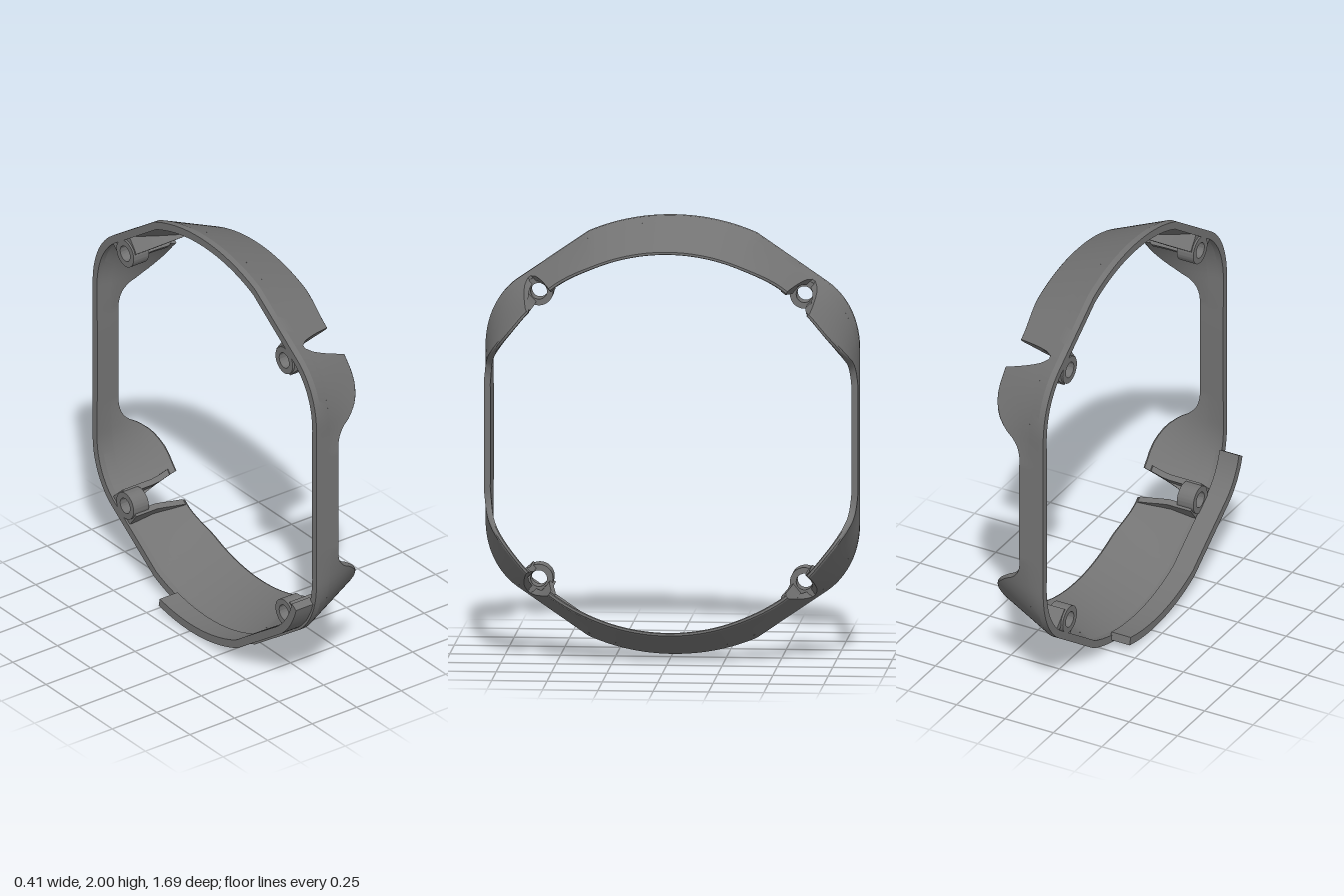
import * as THREE from 'three';
import { toCreasedNormals } from 'three/addons/utils/BufferGeometryUtils.js';

const RAD = Math.PI / 180;
const lerp = THREE.MathUtils.lerp;
const clamp01 = (v) => THREE.MathUtils.clamp(v, 0, 1);

// One quarter of the base outline, as (z, height above centre)
const quarter = new THREE.Path();
quarter.moveTo(0, 1);
quarter.quadraticCurveTo(0.2, 1, 0.38, 0.922);
quarter.lineTo(0.7, 0.702);
quarter.bezierCurveTo(0.78, 0.647, 0.845, 0.54, 0.845, 0.4);
quarter.lineTo(0.845, 0);
const outline = quarter.getPoints(12);

// Radius of the base outline at an angle (0 = up, 90 = toward +z)
function baseRadius(deg) {
  const dz = Math.abs(Math.sin(deg * RAD)), dy = Math.abs(Math.cos(deg * RAD));
  for (let i = 0; i < outline.length - 1; i++) {
    const p = outline[i], q = outline[i + 1];
    if (dz * q.y - dy * q.x <= 1e-9) {
      const ez = q.x - p.x, ey = q.y - p.y;
      const d = dz * ey - dy * ez;
      if (Math.abs(d) > 1e-9) return (p.x * ey - p.y * ez) / d;
    }
  }
  return 0.845;
}

// The wall leans from the base outline to a circle at the front edge
function outerRadius(deg, x) {
  const front = Math.min(0.88, 0.845 / Math.max(Math.abs(Math.sin(deg * RAD)), 0.01));
  return lerp(baseRadius(deg), front, clamp01((x + 0.08) / 0.28));
}
const innerRadius = (deg, x) => outerRadius(deg, x) - lerp(0.036, 0.021, clamp01((x + 0.11) / 0.31));

// Solid curved panel: lo/hi give end angles at x, top gives the edge height
function panel({ lo, hi, x0, top, outer = outerRadius, inner = innerRadius, steps = 60, round = false }) {
  const ts = round ? [0, 0.15, 0.3, 0.45, 0.6, 0.75, 0.88, 0.97, 1] : [0, 0.375, 1];
  const n = ts.length, m = n * 2, pos = [], idx = [];
  for (let i = 0; i <= steps; i++) {
    const s = i / steps;
    const xTop = top(lerp(lo(0.2), hi(0.2), s));
    for (let j = 0; j < m; j++) {
      const t = ts[j < n ? j : m - 1 - j];
      const x = lerp(x0, xTop, t);
      const deg = lerp(lo(x), hi(x), s);
      const ro = outer(deg, x), ri = inner(deg, x);
      const pinch = round && t === 1 ? 0.25 : 0;
      const r = j < n ? lerp(ro, ri, pinch) : lerp(ri, ro, pinch);
      pos.push(x, 1 + r * Math.cos(deg * RAD), r * Math.sin(deg * RAD));
    }
  }
  const quad = (a, b, c, d) => idx.push(a, b, c, a, c, d);
  for (let i = 0; i < steps; i++) {
    for (let j = 0; j < m; j++) {
      const k = (j + 1) % m, a = i * m, b = a + m;
      quad(a + j, b + j, b + k, a + k);
    }
  }
  // End caps
  const e = steps * m;
  for (let j = 0; j < n - 1; j++) {
    quad(j, j + 1, m - 2 - j, m - 1 - j);
    quad(e + m - 1 - j, e + m - 2 - j, e + j + 1, e + j);
  }
  const g = new THREE.BufferGeometry();
  g.setAttribute('position', new THREE.Float32BufferAttribute(pos, 3));
  g.setIndex(idx);
  return toCreasedNormals(g, 0.33);
}

// Slot edges, opening toward the front
const slot = (x) => Math.pow(clamp01((x + 0.03) / 0.23), 0.6);
const archEnd = (x) => 41.3 - 3.8 * slot(x);
const lobeStart = (x) => 42.3 + 4.5 * slot(x);

// Edge height of the arches and of the side lobes
const archTop = (centre) => (deg) => {
  const k = clamp01((Math.abs(deg - centre) - 22) / 14);
  return 0.2 - 0.024 * k * k * (3 - 2 * k);
};
const lobeProfile = [[46, 0.2], [52, 0.2], [55, 0.195], [57.5, 0.184], [60, 0.168], [62, 0.149],
  [64, 0.122], [65.5, 0.098], [67, 0.066], [68, 0.05], [69.5, 0.032], [71, 0.022], [73, 0.015], [90, 0.015]];
const lobeTop = (centre) => (deg) => {
  const a = 90 - Math.abs(deg - centre);
  for (let i = 1; i < lobeProfile.length; i++) {
    const [a0, x0] = lobeProfile[i - 1], [a1, x1] = lobeProfile[i];
    if (a <= a1) return lerp(x0, x1, clamp01((a - a0) / (a1 - a0)));
  }
  return 0.015;
};

export function createModel() {
  const model = new THREE.Group();
  const grey = new THREE.MeshStandardMaterial({ color: 0x737373 });
  grey.name = 'dark grey';
  const add = (name, geometry) => {
    const mesh = new THREE.Mesh(geometry, grey);
    mesh.name = name;
    model.add(mesh);
    return mesh;
  };

  // Continuous base ring
  add('baseRing', panel({ lo: () => 0, hi: () => 360, x0: -0.11, top: () => -0.03, steps: 240 }));

  // Top and bottom arches, then the side bars with their lobes
  for (const [c, name] of [[0, 'topArch'], [180, 'bottomArch']]) {
    add(name, panel({ lo: (x) => c - archEnd(x), hi: (x) => c + archEnd(x), x0: -0.03, top: archTop(c), round: true }));
  }
  for (const [c, name] of [[90, 'frontSide'], [270, 'backSide']]) {
    add(name, panel({
      lo: (x) => c - 90 + lobeStart(x), hi: (x) => c + 90 - lobeStart(x),
      x0: -0.03, top: lobeTop(c), steps: 120, round: true,
    }));
  }

  // Skirt below the base, along the lower front
  add('lowerSkirt', panel({
    lo: () => 122, hi: () => 192.8, x0: -0.205, top: () => -0.105,
    outer: (d) => baseRadius(d) - 0.012, inner: (d) => baseRadius(d) - 0.05,
  }));

  // Screw bosses with ribs on both slot edges
  const ring = new THREE.Shape().absarc(0, 0, 0.065, 0, Math.PI * 2);
  ring.holes.push(new THREE.Path().absarc(0, 0, 0.037, 0, Math.PI * 2, true));
  const bossGeometry = toCreasedNormals(
    new THREE.ExtrudeGeometry(ring, { depth: 0.085, bevelEnabled: false, curveSegments: 32 }).rotateY(Math.PI / 2), 0.5);
  const ribInner = (d, x) => Math.min(0.862, innerRadius(d, x));
  const ribOuter = (d, x) => outerRadius(d, x) - 0.008;
  for (const c of [0, 180]) {
    for (const side of [-1, 1]) {
      const rib = (name, from, to, height) => add(name, panel({
        lo: (x) => c + (side > 0 ? from(x) : -to(x)),
        hi: (x) => c + (side > 0 ? to(x) : -from(x)),
        x0: -0.1, top: () => height, outer: ribOuter, inner: ribInner, steps: 3, round: true,
      }));
      rib('archRib', (x) => Math.min(archEnd(x), 39.6) - 1.8, (x) => Math.min(archEnd(x), 39.6), 0.165);
      rib('lobeRib', (x) => Math.max(lobeStart(x), 45.2), (x) => Math.max(lobeStart(x), 45.2) + 1.8, 0.165);
      const boss = add('screwBoss', bossGeometry);
      boss.position.set(-0.11, 1 + (c ? -0.655 : 0.655), 0.6 * side);
    }
  }
  return model;
}
